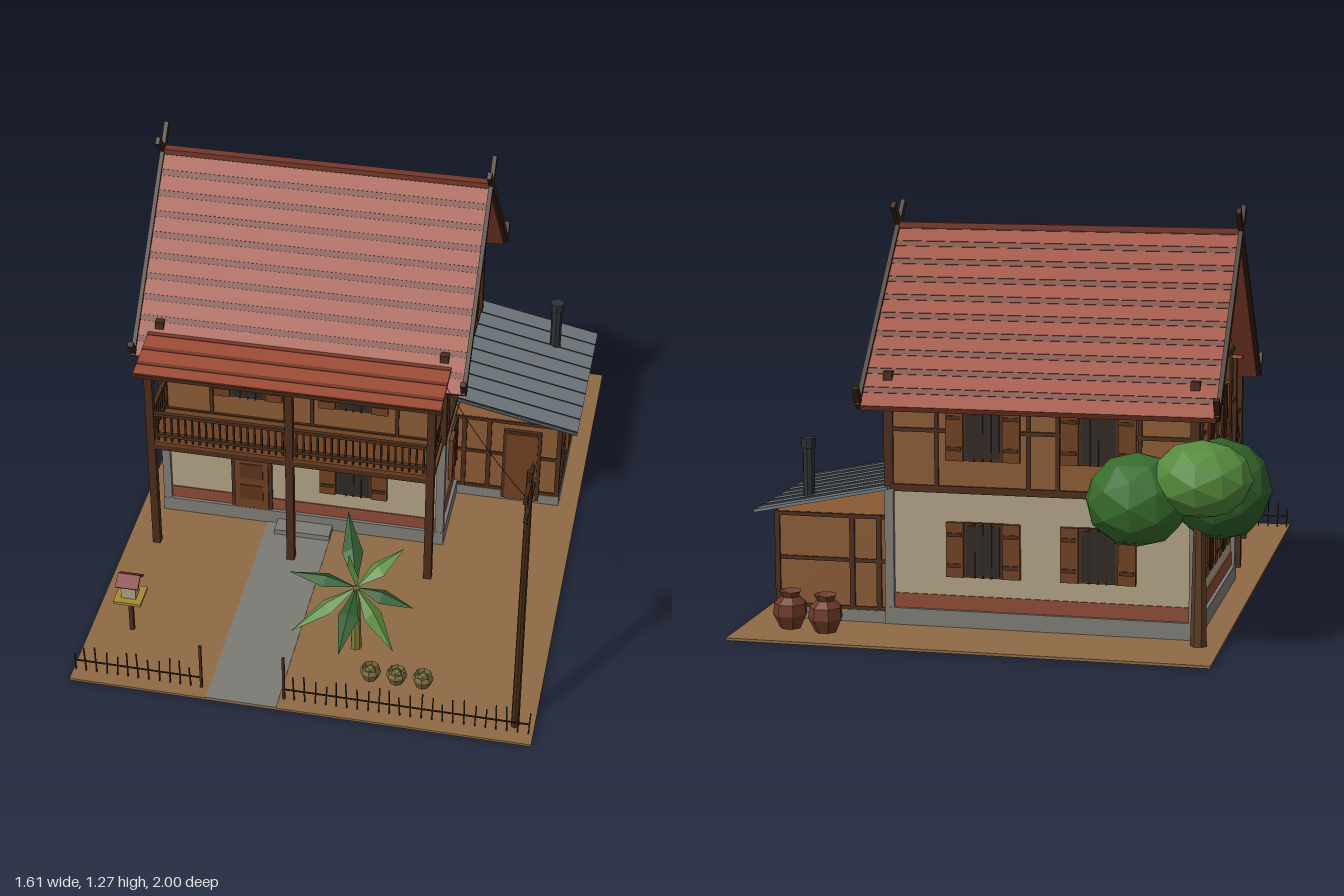
import * as THREE from 'three';

const WALL = 0x8a5a35, TIMBER = 0x4a2c1a, DARK = 0x38200f, CREAM = 0xb0a084, STONE = 0x7d7b74,
  TILE = 0x9c4a35, TILE_DARK = 0x74382a, SHUTTER = 0x6e4022, PANE = 0x2c2824, METAL = 0x6d757a;
const HX = -0.105, HZ = -0.305; // house centre

const mat = (color, side = THREE.FrontSide) => new THREE.MeshStandardMaterial({ color, flatShading: true, side });

function add(parent, name, geo, color, x = 0, y = 0, z = 0, side) {
  const m = new THREE.Mesh(geo, mat(color, side));
  m.name = name;
  m.position.set(x, y, z);
  parent.add(m);
  return m;
}
function group(parent, name, x = 0, y = 0, z = 0) {
  const g = new THREE.Group();
  g.name = name;
  g.position.set(x, y, z);
  parent.add(g);
  return g;
}
// box from its min and max corners
const block = (p, name, c, x0, x1, y0, y1, z0, z1) =>
  add(p, name, new THREE.BoxGeometry(x1 - x0, y1 - y0, z1 - z0), c, (x0 + x1) / 2, (y0 + y1) / 2, (z0 + z1) / 2);
// square bar between two points
function bar(p, name, c, a, b, w, d = w) {
  const A = new THREE.Vector3(...a), B = new THREE.Vector3(...b), v = B.clone().sub(A);
  const m = add(p, name, new THREE.BoxGeometry(w, v.length(), d), c);
  m.position.copy(A).add(B).multiplyScalar(0.5);
  m.quaternion.setFromUnitVectors(new THREE.Vector3(0, 1, 0), v.normalize());
  return m;
}

// shuttered window facing local +z
function windowUnit(p, x, y, z, ry, h = 0.17) {
  const g = group(p, 'window', x, y, z), w = 0.12;
  g.rotation.y = ry;
  block(g, 'windowFrame', TIMBER, -w / 2, w / 2, -h / 2, h / 2, -0.005, 0.008);
  block(g, 'windowPane', PANE, -w / 2 + 0.008, w / 2 - 0.008, -h / 2 + 0.008, h / 2 - 0.008, 0, 0.011);
  for (const i of [-1, 0, 1]) block(g, 'windowBar', DARK, i * 0.026 - 0.002, i * 0.026 + 0.002, -h / 2, h / 2, 0, 0.014);
  for (const s of [-1, 1]) {
    const cx = s * 0.088;
    block(g, 'shutter', SHUTTER, cx - 0.027, cx + 0.027, -h / 2, h / 2, 0, 0.014);
    for (const k of [-0.28, 0.28]) block(g, 'shutterBatten', TIMBER, cx - 0.022, cx + 0.022, k * h - 0.006, k * h + 0.006, 0, 0.018);
  }
}

function buildHouse(root) {
  const g = group(root, 'house');
  block(g, 'foundation', STONE, -0.59, 0.38, 0, 0.06, -0.71, 0.1);
  block(g, 'lowerWalls', CREAM, -0.575, 0.365, 0.06, 0.43, -0.695, 0.085);
  block(g, 'brickBand', 0x8c4a35, -0.579, 0.369, 0.06, 0.105, -0.699, 0.089);
  // upper storey with gables
  const s = new THREE.Shape([[-0.395, 0.43], [0.395, 0.43], [0.395, 0.745], [0, 1.17], [-0.395, 0.745]].map(p => new THREE.Vector2(...p)));
  const upper = add(g, 'upperWalls', new THREE.ExtrudeGeometry(s, { depth: 0.945, bevelEnabled: false }), WALL, -0.5775, 0, HZ);
  upper.rotation.y = Math.PI / 2;
  // corner columns and posts
  for (const x of [-0.575, 0.365]) for (const z of [-0.695, 0.085]) {
    block(g, 'cornerColumn', STONE, x - 0.014, x + 0.014, 0.06, 0.43, z - 0.014, z + 0.014);
    block(g, 'cornerPost', TIMBER, x - 0.014, x + 0.014, 0.43, 0.79, z - 0.014, z + 0.014);
  }
  // timber framing
  for (const [y, h] of [[0.435, 0.022], [0.615, 0.012], [0.725, 0.014]]) for (const z of [-0.7, 0.09])
    block(g, 'frontBackRail', TIMBER, -0.58, 0.37, y - h / 2, y + h / 2, z - 0.008, z + 0.008);
  for (const [y, h] of [[0.435, 0.022], [0.615, 0.012], [0.785, 0.014]]) for (const x of [-0.578, 0.368])
    block(g, 'sideRail', TIMBER, x - 0.008, x + 0.008, y - h / 2, y + h / 2, y > 0.7 ? -0.66 : -0.7, y > 0.7 ? 0.05 : 0.09);
  for (const z of [-0.7, 0.09]) for (const x of [-0.41, -0.16, -0.07, 0.215])
    block(g, 'stud', TIMBER, x - 0.006, x + 0.006, 0.43, 0.73, z - 0.007, z + 0.007);
  for (const x of [-0.578, 0.368]) for (const z of [0.0, -0.305, -0.61])
    block(g, 'stud', TIMBER, x - 0.006, x + 0.006, 0.43, 0.78, z - 0.006, z + 0.006);
  // windows on all four sides
  const F = 0.089, B = -0.699, Q = Math.PI / 2;
  for (const x of [-0.285, 0.07]) {
    windowUnit(g, x, 0.61, F, 0);
    windowUnit(g, x, 0.61, B, Math.PI);
    windowUnit(g, x, 0.25, B, Math.PI);
  }
  windowUnit(g, 0.07, 0.25, 0.086, 0);
  for (const z of [-0.17, -0.44]) for (const y of [0.61, 0.25]) {
    windowUnit(g, -0.577, y, z, -Q);
    if (y > 0.5 || z > -0.3) windowUnit(g, 0.367, y, z, Q);
  }
  // front door and step
  block(g, 'doorFrame', TIMBER, -0.35, -0.21, 0.06, 0.33, 0.08, 0.094);
  block(g, 'door', SHUTTER, -0.338, -0.222, 0.06, 0.318, 0.08, 0.099);
  for (const y of [0.13, 0.22]) block(g, 'doorPanel', 0x5c341c, -0.32, -0.24, y - 0.03, y + 0.03, 0.08, 0.102);
  block(g, 'step', STONE, -0.19, 0, 0, 0.03, 0.09, 0.16);
}

function buildRoof(root) {
  const g = group(root, 'mainRoof'), angle = 0.83, len = 0.69, rows = 10;
  for (const side of [0, Math.PI]) {
    const slope = group(g, 'roofSlope', HX, 1.2, HZ);
    slope.rotation.set(angle, side, 0, 'YXZ');
    block(slope, 'roofSlab', TILE, -0.54, 0.54, -0.02, 0, 0, len);
    // overlapping tile courses
    for (let i = 0; i < rows; i++) {
      const z = (i + 0.5) * len / rows;
      const course = block(slope, 'tileCourse', TILE, -0.538, 0.538, -0.005, 0.003, z - 0.034, z + 0.034);
      course.rotation.x = -0.07;
      block(slope, 'tileShadow', TILE_DARK, -0.538, 0.538, 0, 0.0035, z - 0.036, z - 0.016);
    }
    // barge boards, crossed at the ridge and upturned at the eave
    for (const x of [-0.545, 0.545]) {
      bar(slope, 'bargeBoard', DARK, [x, 0, -0.09], [x, 0, len], 0.014, 0.024);
      bar(slope, 'eaveHook', DARK, [x, -0.004, len - 0.01], [x, 0.058, len - 0.03], 0.018, 0.018);
    }
  }
  block(g, 'ridgeCap', TILE_DARK, -0.65, 0.44, 1.19, 1.208, HZ - 0.015, HZ + 0.015);
}

function buildPorch(root) {
  const g = group(root, 'porch'), zf = 0.268;
  for (const x of [-0.57, -0.107, 0.357]) block(g, 'porchPost', TIMBER, x - 0.013, x + 0.013, 0, 0.73, zf - 0.013, zf + 0.013);
  block(g, 'balconyFloor', SHUTTER, -0.58, 0.37, 0.425, 0.442, 0.09, 0.28);
  block(g, 'balconyBeam', TIMBER, -0.58, 0.37, 0.41, 0.43, 0.255, 0.28);
  block(g, 'porchBeam', TIMBER, -0.6, 0.385, 0.71, 0.73, zf - 0.01, zf + 0.01);
  // railing
  for (const y of [0.465, 0.548]) {
    block(g, 'frontHandrail', TIMBER, -0.57, 0.357, y - 0.006, y + 0.006, zf - 0.007, zf + 0.007);
    for (const x of [-0.57, 0.357]) block(g, 'sideHandrail', TIMBER, x - 0.007, x + 0.007, y - 0.006, y + 0.006, 0.09, zf);
  }
  for (let i = 1; i < 40; i++) {
    const x = -0.57 + i * 0.927 / 40;
    block(g, 'baluster', DARK, x - 0.003, x + 0.003, 0.44, 0.548, zf - 0.003, zf + 0.003);
  }
  for (const x of [-0.57, 0.357]) for (let z = 0.11; z < 0.26; z += 0.024)
    block(g, 'baluster', DARK, x - 0.003, x + 0.003, 0.44, 0.548, z - 0.003, z + 0.003);
  // lean-to roof
  const r = group(g, 'porchRoof', -0.11, 0.765, 0.04);
  r.rotation.x = 0.13;
  block(r, 'porchRoofSlab', TILE, -0.5, 0.5, -0.012, 0, 0, 0.267);
  for (const z of [0.07, 0.14, 0.21]) block(r, 'porchTileShadow', TILE_DARK, -0.5, 0.5, 0, 0.002, z, z + 0.014);
  block(r, 'porchFascia', TIMBER, -0.505, 0.505, -0.018, -0.004, 0.255, 0.27);
}

function buildShed(root) {
  const g = group(root, 'shed');
  block(g, 'shedBase', STONE, 0.37, 0.735, 0, 0.045, -0.705, -0.185);
  block(g, 'shedWalls', WALL, 0.37, 0.728, 0.045, 0.345, -0.698, -0.192);
  for (const y of [0.05, 0.2, 0.338]) block(g, 'shedRail', TIMBER, 0.37, 0.733, y - 0.006, y + 0.006, -0.703, -0.187);
  for (const z of [-0.195, -0.695]) for (const x of [0.4, 0.485, 0.725])
    block(g, 'shedPost', TIMBER, x - 0.008, x + 0.008, 0.045, 0.345, z - 0.01, z + 0.01);
  for (const z of [-0.32, -0.57]) block(g, 'shedStud', TIMBER, 0.72, 0.734, 0.045, 0.345, z - 0.006, z + 0.006);
  block(g, 'shedDoorFrame', TIMBER, 0.535, 0.665, 0.02, 0.31, -0.2, -0.18);
  block(g, 'shedDoor', SHUTTER, 0.547, 0.653, 0.02, 0.3, -0.2, -0.176);
  windowUnit(g, 0.73, 0.21, -0.445, Math.PI / 2, 0.135);
  // sloping metal roof in lapped sheets
  const r = group(g, 'shedRoof', 0.572, 0.393, -0.45);
  r.rotation.z = -0.205;
  for (let i = 0; i < 8; i++) {
    const z = -0.258 + i * 0.0737;
    block(r, 'roofSheet', METAL, -0.218, 0.218, -0.006, 0.004, z - 0.037, z + 0.037).rotation.x = 0.06;
    block(r, 'sheetSeam', 0x353a3c, -0.218, 0.218, -0.006, 0.008, z + 0.033, z + 0.037);
  }
  add(g, 'stovePipe', new THREE.CylinderGeometry(0.019, 0.019, 0.19, 8), 0x2e3032, 0.65, 0.455, -0.61);
  add(g, 'pipeCap', new THREE.CylinderGeometry(0.024, 0.024, 0.03, 8), 0x2e3032, 0.65, 0.545, -0.61);
}

function buildPlants(root) {
  // leafy tree
  const t = group(root, 'tree');
  add(t, 'treeTrunk', new THREE.CylinderGeometry(0.018, 0.026, 0.4, 7), 0x5a3a22, -0.6, 0.2, -0.76);
  for (const [x, y, z, r, ry, c] of [[-0.65, 0.47, -0.69, 0.155, 0.155, 0x2f5f2a], [-0.43, 0.46, -0.85, 0.155, 0.14, 0x376b2c], [-0.62, 0.53, -0.855, 0.15, 0.115, 0x568a3c]])
    add(t, 'foliage', new THREE.IcosahedronGeometry(1, 1), c, x, y, z).scale.set(r, ry, r * 0.97);
  // palm with folded leaves
  const p = group(root, 'palm', 0.19, 0, 0.65), top = new THREE.Vector3(0, 0.26, 0);
  add(p, 'palmTrunk', new THREE.CylinderGeometry(0.011, 0.018, 0.26, 7), 0x7a7a3a, 0, 0.13, 0);
  [[-0.07, 0.38, -0.22], [0.13, 0.34, -0.12], [0.19, 0.23, 0.03], [0.14, 0.11, 0.11], [-0.02, 0.14, 0.19],
    [-0.19, 0.13, 0.1], [-0.22, 0.27, -0.02], [-0.02, 0.41, 0.02]].forEach((tip, i) => {
    const T = new THREE.Vector3(...tip), mid = top.clone().lerp(T, 0.45);
    const side = T.clone().sub(top).cross(new THREE.Vector3(0, 1, 0.01)).setLength(0.034);
    const L = mid.clone().add(side), R = mid.clone().sub(side);
    mid.y += 0.018;
    const geo = new THREE.BufferGeometry().setFromPoints([top, mid, L, L, mid, T, top, R, mid, R, T, mid]);
    geo.computeVertexNormals();
    add(p, 'palmLeaf', geo, i % 2 ? 0x5b8c40 : 0x2c5a2c, 0, 0, 0, THREE.DoubleSide);
  });
  // potted plants and storage jars
  const lathe = (pts, n) => new THREE.LatheGeometry(pts.map(q => new THREE.Vector2(...q)), n);
  for (const x of [0.262, 0.346, 0.43]) {
    add(root, 'pot', lathe([[0, 0], [0.022, 0], [0.034, 0.028], [0.028, 0.045], [0.024, 0.03], [0, 0.03]], 8), 0x7c6a40, x, 0.008, 0.78, THREE.DoubleSide);
    add(root, 'potPlant', new THREE.IcosahedronGeometry(0.019, 0), 0x6f7038, x, 0.04, 0.78);
  }
  for (const [x, z] of [[0.53, -0.835], [0.65, -0.81]])
    add(root, 'jar', lathe([[0, 0], [0.032, 0], [0.054, 0.045], [0.05, 0.08], [0.028, 0.1], [0.036, 0.118], [0.02, 0.105], [0, 0.1]], 7), 0x6b3826, x, 0.005, z, THREE.DoubleSide);
}

function buildYard(root) {
  block(root, 'ground', 0x8f6b45, -0.668, 0.8, 0, 0.008, -0.975, 0.975);
  block(root, 'path', STONE, -0.225, 0, 0.004, 0.011, 0.1, 0.975);
  // picket fence and gate posts
  const f = group(root, 'fence', 0, 0, 0.928);
  for (const [a, b] of [[-0.66, -0.25], [0.015, 0.785]]) {
    const n = Math.round((b - a) / 0.034);
    for (let i = 0; i <= n; i++) {
      const x = a + (b - a) * i / n, h = 0.075 + 0.035 * Math.abs(Math.sin(i * 2.3));
      bar(f, 'picket', DARK, [x, 0, 0], [x + 0.004 * Math.sin(i * 5), h, 0], 0.004);
    }
    block(f, 'fenceRail', DARK, a, b, 0.045, 0.049, -0.002, 0.002);
  }
  for (const x of [-0.25, 0.015]) block(f, 'gatePost', TIMBER, x - 0.004, x + 0.004, 0, 0.18, -0.004, 0.004);
  // small shrine on a post
  const s = group(root, 'shrine', -0.535, 0, 0.71);
  block(s, 'shrinePost', TIMBER, -0.007, 0.007, 0, 0.145, -0.007, 0.007);
  block(s, 'shrinePlatform', 0xa88a30, -0.045, 0.045, 0.145, 0.155, -0.045, 0.045);
  block(s, 'shrineBody', CREAM, -0.024, 0.024, 0.155, 0.21, -0.022, 0.022);
  for (const k of [-1, 1]) add(s, 'shrineRoof', new THREE.BoxGeometry(0.074, 0.007, 0.045), 0x7c2a28, 0, 0.222, k * 0.018).rotation.x = k * 0.6;
  // utility pole and sagging wire
  const u = group(root, 'utilityPole', 0.74, 0, 0.9);
  add(u, 'pole', new THREE.CylinderGeometry(0.01, 0.013, 1.01, 8), TIMBER, 0, 0.505, 0);
  for (const [y, z0, z1] of [[0.97, -0.075, 0.097], [0.875, -0.11, 0.06]]) {
    block(u, 'crossarm', TIMBER, -0.006, 0.006, y - 0.006, y + 0.006, z0, z1);
    for (const z of [z0 + 0.012, z1 - 0.012]) add(u, 'insulator', new THREE.CylinderGeometry(0.004, 0.005, 0.016, 6), 0x55504a, 0, y + 0.012, z);
    for (const k of [-1, 1]) bar(u, 'brace', DARK, [0, y - 0.065, 0], [0, y, k * 0.055], 0.003);
  }
  const wire = new THREE.QuadraticBezierCurve3(new THREE.Vector3(0.74, 0.885, 0.88), new THREE.Vector3(0.58, 0.77, 0.56), new THREE.Vector3(0.39, 0.745, 0.2));
  add(root, 'wire', new THREE.TubeGeometry(wire, 16, 0.0012, 4), 0x222222);
}

export function createModel() {
  const root = new THREE.Group();
  root.name = 'timberHouse';
  [buildYard, buildHouse, buildRoof, buildPorch, buildShed, buildPlants].forEach(build => build(root));
  return root;
}
